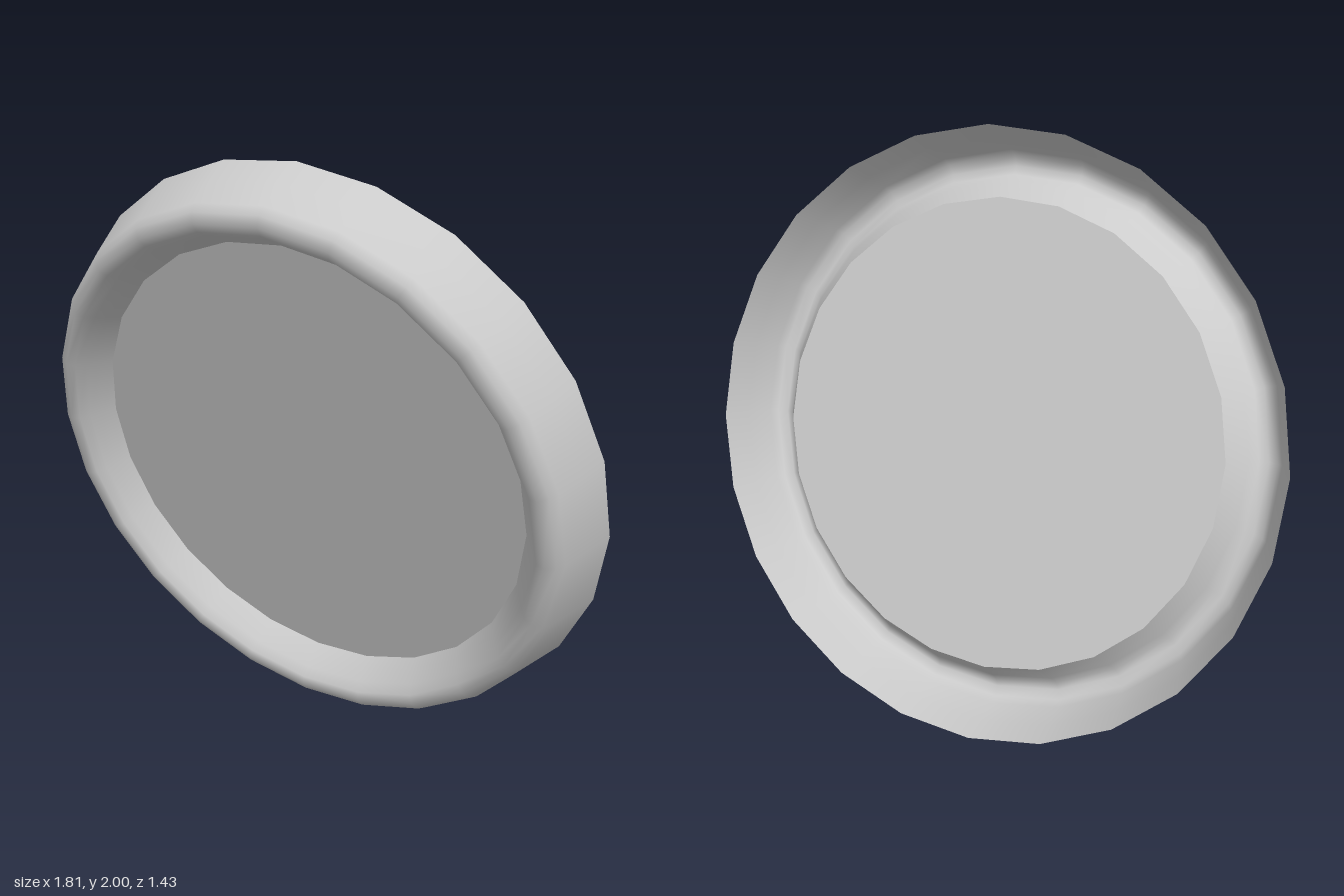
import * as THREE from 'three';

const SEGMENTS = 24;

export function createModel() {
  const material = new THREE.MeshStandardMaterial({ color: 0xcccccc, side: THREE.DoubleSide });
  const model = new THREE.Group();

  // Dish built around local +y, which points out of its front face
  const dish = new THREE.Group();
  dish.name = 'dish';
  model.add(dish);

  // Thin shell: flared back skirt, rounded front lip, slope down to the panel
  const profile = [
    [1.053, 0], [1.02, 0.095], [0.987, 0.19], [0.968, 0.218], [0.935, 0.234],
    [0.905, 0.222], [0.88, 0.19], [0.85, 0.15], [0.825, 0.11],
  ].map(([r, y]) => new THREE.Vector2(r, y));
  const rim = new THREE.Mesh(new THREE.LatheGeometry(profile, SEGMENTS), material);
  rim.name = 'rim';
  dish.add(rim);

  // Flat round panel, with corners matching the rim
  const disc = new THREE.CircleGeometry(0.825, SEGMENTS).rotateX(-Math.PI / 2);
  const panel = new THREE.Mesh(disc, material);
  panel.name = 'panel';
  panel.position.y = 0.11;
  dish.add(panel);

  // Tilt the dish: turned to its right and leaning forward
  const axis = new THREE.Vector3(-0.545, -0.30, 0.782).normalize();
  const zAxis = new THREE.Vector3(0, 0, 1).addScaledVector(axis, -axis.z).normalize();
  const xAxis = new THREE.Vector3().crossVectors(axis, zAxis);
  dish.quaternion.setFromRotationMatrix(new THREE.Matrix4().makeBasis(xAxis, axis, zAxis));
  dish.position.set(0.02, 1.0, -0.055);

  return model;
}
